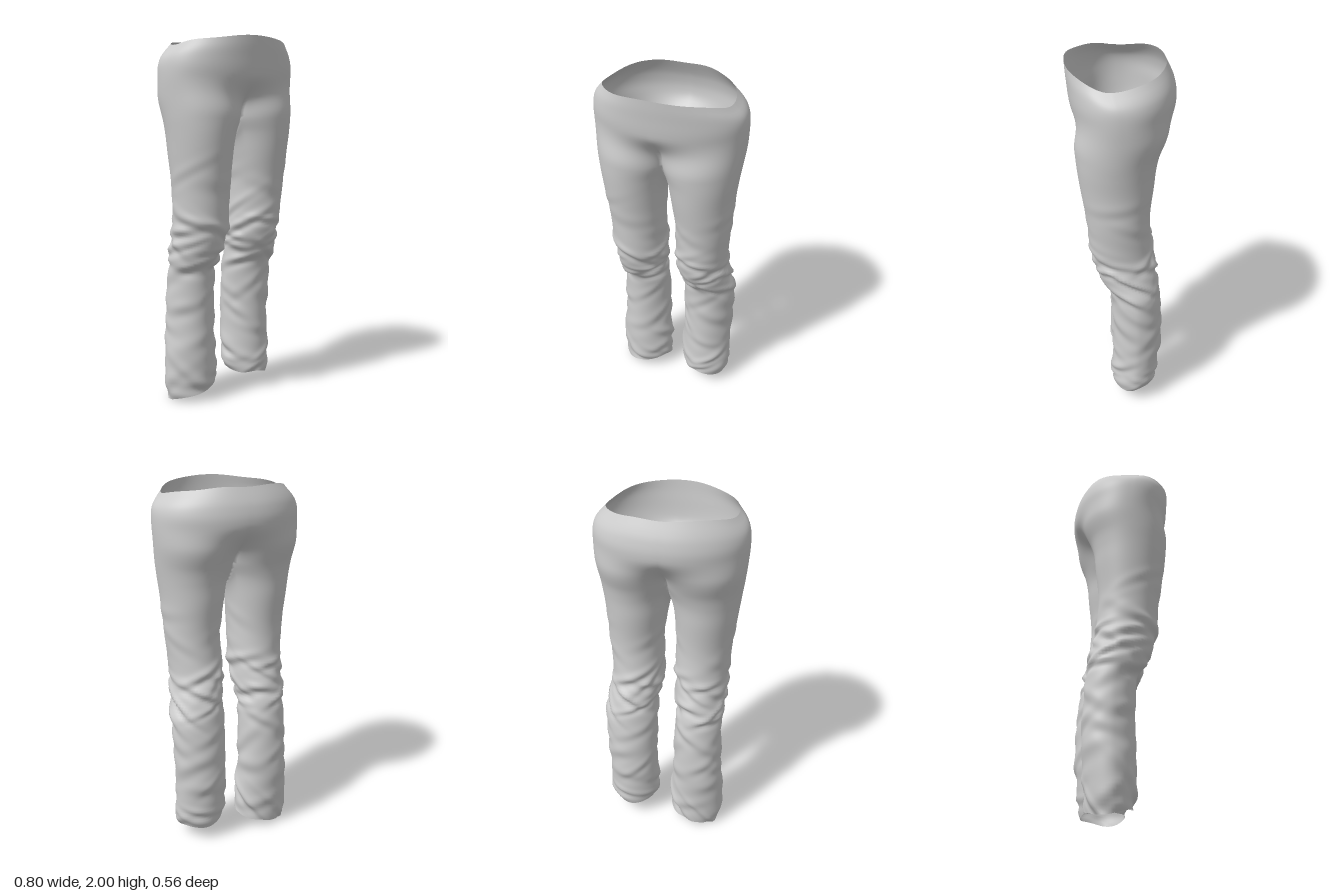
import * as THREE from 'three';
import { mergeVertices } from 'three/addons/utils/BufferGeometryUtils.js';

// Cross-section sizes by height: y, outer x, inner x, front z, back z
const hips = [
  [2.0, 0.335, -0.03, 0.28, -0.228],
  [1.95, 0.373, -0.03, 0.277, -0.252],
  [1.9, 0.392, -0.03, 0.272, -0.27],
  [1.82, 0.401, -0.03, 0.264, -0.28],
  [1.7, 0.396, -0.03, 0.243, -0.257],
  [1.59, 0.384, -0.028, 0.238, -0.2],
  [1.5, 0.372, 0.004, 0.23, -0.176],
  [1.4, 0.36, 0.02, 0.218, -0.166],
];
const leftLeg = [...hips,
  [1.2, 0.346, 0.045, 0.188, -0.147],
  [1.0, 0.328, 0.042, 0.17, -0.163],
  [0.9, 0.336, 0.048, 0.145, -0.183],
  [0.82, 0.343, 0.062, 0.107, -0.197],
  [0.75, 0.36, 0.06, 0.066, -0.207],
  [0.6, 0.358, 0.06, 0.052, -0.22],
  [0.4, 0.35, 0.06, 0.05, -0.225],
  [0.22, 0.35, 0.055, 0.055, -0.208],
  [0.15, 0.35, 0.056, 0.063, -0.2],
  [0.1, 0.328, 0.075, 0.055, -0.19],
];
const rightLeg = [...hips,
  [1.2, 0.337, 0.03, 0.188, -0.147],
  [1.0, 0.326, 0.03, 0.17, -0.163],
  [0.9, 0.322, 0.038, 0.145, -0.183],
  [0.82, 0.322, 0.052, 0.107, -0.197],
  [0.75, 0.312, 0.048, 0.066, -0.207],
  [0.6, 0.32, 0.045, 0.052, -0.22],
  [0.4, 0.326, 0.042, 0.05, -0.225],
  [0.2, 0.342, 0.028, 0.055, -0.212],
  [0.1, 0.32, 0.03, 0.04, -0.2],
];

const CROTCH = 1.59, OUTER = 48, INNER = 14;
const { smoothstep, lerp } = THREE.MathUtils;
const bell = (v, width) => Math.exp(-((v / width) ** 2));

// Scattered creases: count, height range, depth, thickness
const creaseZones = [
  [6, 1.05, 1.35, 0.003, 0.035],
  [18, 0.77, 1.05, 0.01, 0.02],
  [14, 0.25, 0.75, 0.006, 0.035],
  [10, 0.1, 0.24, 0.007, 0.022],
];
function makeCreases(seed) {
  const random = () => {
    seed = (seed * 16807) % 2147483647;
    return seed / 2147483647;
  };
  return creaseZones.flatMap(([count, low, high, depth, width]) =>
    Array.from({ length: count }, (_, i) => ({
      y: lerp(low, high, (i + random()) / count),
      angle: i * 2.4 + random(),
      slope: (random() - 0.5) * 0.22,
      span: 0.5 + 0.6 * random(),
      depth: depth * (0.6 + 0.6 * random()),
      width: width * (0.8 + 0.5 * random()),
    })));
}

// Each crease is a raised fold with a furrow below it
function foldDepth(creases, y, a) {
  let sum = 0;
  for (const c of creases) {
    const da = Math.atan2(Math.sin(a - c.angle), Math.cos(a - c.angle));
    const dy = y - c.y - c.slope * da;
    sum += c.depth * bell(da, c.span) * (bell(dy, c.width) - bell(dy + 1.6 * c.width, c.width));
  }
  return sum;
}

// Smooth interpolation through a size table
function sample(table, y) {
  let k = 0;
  while (k < table.length - 2 && y < table[k + 1][0]) k++;
  const p = table[k], q = table[k + 1];
  const o = table[Math.max(0, k - 1)], r = table[Math.min(table.length - 1, k + 2)];
  const h = q[0] - p[0], t = (y - p[0]) / h;
  return [1, 2, 3, 4].map((c) => {
    const m0 = ((q[c] - o[c]) / (q[0] - o[0])) * h, m1 = ((r[c] - p[c]) / (r[0] - p[0])) * h;
    return p[c] * (1 + 2 * t) * (1 - t) ** 2 + m0 * t * (1 - t) ** 2
      + q[c] * t * t * (3 - 2 * t) + m1 * t * t * (t - 1);
  });
}

// Point on one half: u runs 0..OUTER from front seam round the hip to the back
// seam, then on through the inner thigh to the front again
function halfPoint(table, creases, side, y, u) {
  const [xo, xi, zf, zb] = sample(table, y);
  const zc = (zf + zb) / 2, zr = (zf - zb) / 2;
  const inner = Math.max(0, (u - OUTER) / INNER);
  const a = (inner > 0 ? -150 - 60 * inner : 150 - (300 * u) / OUTER) * Math.PI / 180;
  const d = foldDepth(creases, y, a);
  // The shin narrows a little towards its front
  const pinch = 1 - 0.12 * Math.max(0, Math.sin(a)) * (1 - smoothstep(y, 0.6, 0.9));
  let x = Math.max(0, (xo + xi) / 2 + ((xo - xi) / 2 + d) * Math.cos(a) * pinch);
  let z = zc + (zr + d) * Math.sin(a);
  let py = y;

  // Blend from the leg's own oval to half of the hip oval
  if (y >= CROTCH - 1e-6) {
    const w = 1 - smoothstep(y, CROTCH, 1.8);
    const top = smoothstep(y, 1.82, 2);
    const t = (Math.PI * Math.min(u, OUTER)) / OUTER;
    const c = Math.cos(t), s = Math.max(0, Math.sin(t));
    const power = c < 0 ? 0.9 : 1 + 0.15 * top;
    const hz = zc + zr * Math.sign(c) * Math.abs(c) ** power + 0.02 * s * s;
    x = u === 0 || u >= OUTER ? 0 : lerp(s ** 0.95 * xo, x, w);
    z = lerp(hz, z, w);
    // Waist edge dips at the sides and slightly at the back seam
    const wave = 0.006 * Math.sin(5 * t + side) * s;
    py -= top * ((side > 0 ? 0.052 : 0.04) * s * s + 0.014 * bell(t - Math.PI, 0.3) + wave);
  }

  // Crotch seam hangs as a curve from front to back
  py -= 0.07 * Math.sin(Math.PI * inner) * smoothstep(y, 1.3, CROTCH);

  // Uneven hem
  const hem = 1 - smoothstep(y, 0.1, 0.32);
  py -= hem * (side > 0
    ? 0.008 + 0.016 * Math.cos(a) + 0.008 * Math.sin(3 * a)
    : 0.057 + 0.038 * Math.cos(a + 0.4) + 0.006 * Math.cos(3 * a + 1.2));
  return [side * x, py, z];
}

function createTrousers(material) {
  const positions = [], index = [], heights = [];
  const hipRows = 24, legRows = 120, ring = OUTER + INNER;
  for (let i = 0; i <= hipRows; i++) heights.push(lerp(2, CROTCH, i / hipRows));
  for (let i = 1; i <= legRows; i++) heights.push(lerp(CROTCH, 0.1, i / legRows));

  for (const [table, side, seed] of [[leftLeg, 1, 4711], [rightLeg, -1, 90210]]) {
    const creases = makeCreases(seed);
    const start = positions.length / 3;
    for (const y of heights) {
      for (let u = 0; u <= ring; u++) {
        positions.push(...halfPoint(table, creases, side, y, u % ring));
      }
    }
    for (let r = 0; r < heights.length - 1; r++) {
      // Above the crotch only the outer half of each ring has cloth
      const count = r < hipRows ? OUTER : ring;
      for (let u = 0; u < count; u++) {
        const a = start + r * (ring + 1) + u, b = a + 1, c = a + ring + 1, d = c + 1;
        if (side > 0) index.push(a, c, b, b, c, d);
        else index.push(a, b, c, b, d, c);
      }
    }
  }

  let geometry = new THREE.BufferGeometry();
  geometry.setAttribute('position', new THREE.Float32BufferAttribute(positions, 3));
  geometry.setIndex(index);
  geometry = mergeVertices(geometry, 1e-4);
  geometry.computeVertexNormals();
  const mesh = new THREE.Mesh(geometry, material);
  mesh.name = 'trousers';
  return mesh;
}

export function createModel() {
  const group = new THREE.Group();
  group.name = 'wornTrousers';
  const cloth = new THREE.MeshStandardMaterial({ color: 0xcccccc, side: THREE.DoubleSide });
  group.add(createTrousers(cloth));
  return group;
}
